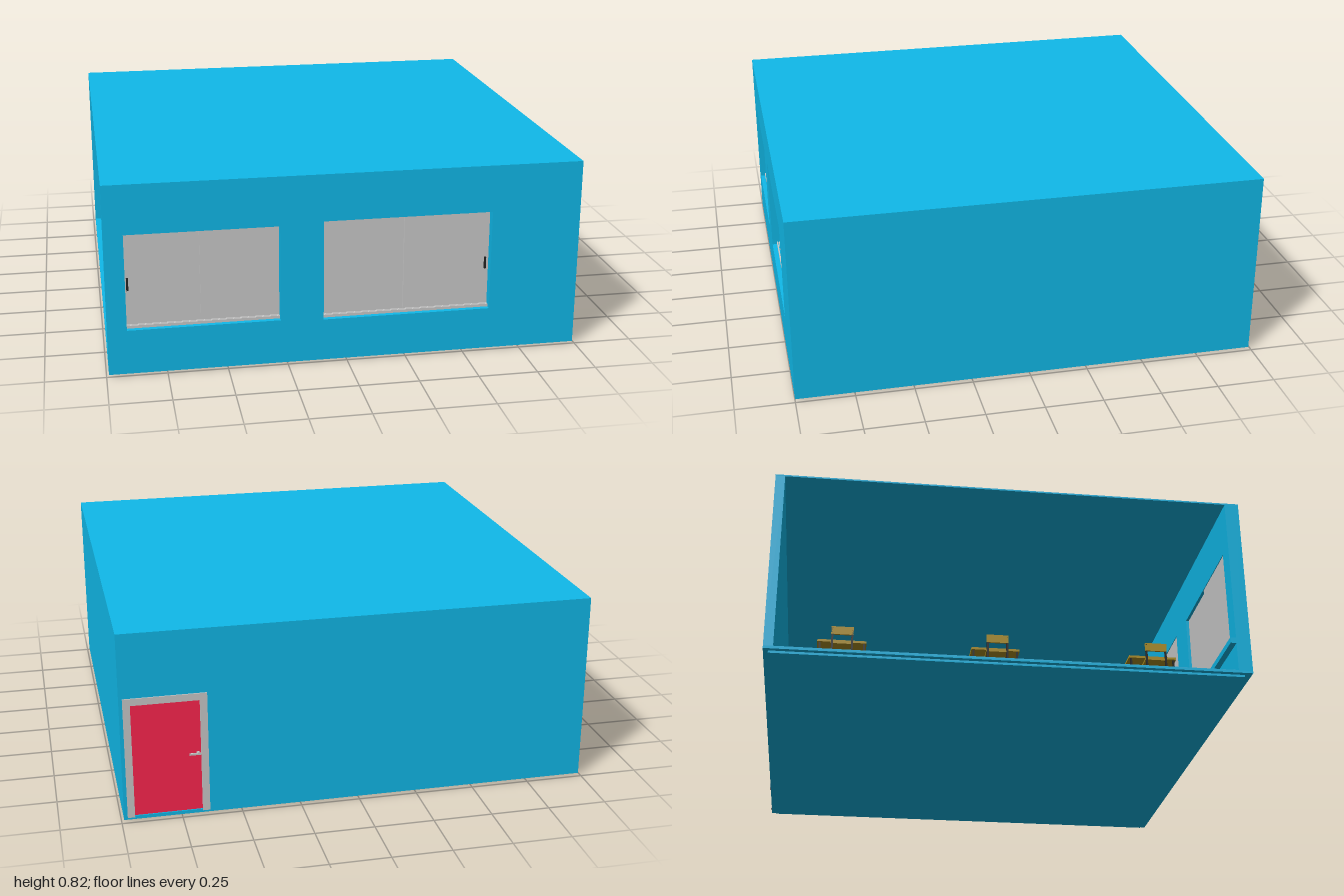
import * as THREE from 'three';

const mat = (color) => new THREE.MeshStandardMaterial({ color });
const BLUE = mat(0x10baea), GREY = mat(0xcccccc), RED = mat(0xff2650), WOOD = mat(0xb09224), DARK = mat(0x222222);

// Box given by its two opposite corners
function box(parent, name, material, [x0, y0, z0], [x1, y1, z1]) {
  const mesh = new THREE.Mesh(new THREE.BoxGeometry(x1 - x0, y1 - y0, z1 - z0), material);
  mesh.position.set((x0 + x1) / 2, (y0 + y1) / 2, (z0 + z1) / 2);
  mesh.name = name;
  parent.add(mesh);
  return mesh;
}

function group(parent, name) {
  const g = new THREE.Group();
  g.name = name;
  parent.add(g);
  return g;
}

// Closed rectangle as a list of points
const rect = (x0, y0, x1, y1) => [[x0, y0], [x1, y0], [x1, y1], [x0, y1]].map(([x, y]) => new THREE.Vector2(x, y));

// Wall across x with rectangular openings, from z to z + depth
function wall(parent, name, z, depth, openings) {
  const shape = new THREE.Shape(rect(-0.99, 0.02, 0.99, 0.82));
  for (const o of openings) shape.holes.push(new THREE.Path(rect(...o)));
  const mesh = new THREE.Mesh(new THREE.ExtrudeGeometry(shape, { depth, bevelEnabled: false }), BLUE);
  mesh.position.z = z;
  mesh.name = name;
  parent.add(mesh);
}

// Sliding window: two overlapping sashes on a grooved bottom rail, with a pull
function slidingWindow(parent, [x0, y0, x1, y1], pullX) {
  const g = group(parent, 'slidingWindow');
  const mid = (x0 + x1) / 2;
  box(g, 'leftSash', GREY, [x0, y0, 0.943], [mid + 0.01, y1, 0.953]);
  box(g, 'rightSash', GREY, [mid - 0.01, y0, 0.953], [x1, y1, 0.963]);
  for (const z of [0.966, 0.976]) box(g, 'bottomRail', GREY, [x0, y0, z - 0.003], [x1, y0 + 0.012, z + 0.003]);
  box(g, 'pull', DARK, [pullX - 0.004, 0.36, 0.953], [pullX + 0.004, 0.41, 0.97]);
}

// Desk facing +x, standing on its own y = 0
function desk(parent) {
  const g = group(parent, 'desk');
  box(g, 'deskTop', WOOD, [-0.08, 0.085, -0.1], [0.08, 0.095, 0.1]);
  for (const x of [-0.07, 0.07]) for (const z of [-0.09, 0.09])
    box(g, 'deskLeg', DARK, [x - 0.004, 0, z - 0.004], [x + 0.004, 0.085, z + 0.004]);
}

// Chair tucked behind the desk, facing +x
function chair(parent) {
  const g = group(parent, 'chair');
  box(g, 'seat', WOOD, [-0.14, 0.05, -0.045], [-0.06, 0.058, 0.045]);
  box(g, 'backrest', WOOD, [-0.142, 0.09, -0.045], [-0.135, 0.125, 0.045]);
  for (const z of [-0.04, 0.04]) {
    box(g, 'rearLeg', DARK, [-0.142, 0, z - 0.004], [-0.134, 0.12, z + 0.004]);
    box(g, 'frontLeg', DARK, [-0.07, 0, z - 0.004], [-0.062, 0.05, z + 0.004]);
  }
}

export function createModel() {
  const root = new THREE.Group();
  root.name = 'classroom';

  // Room shell, open on the -x side
  const windows = [[-0.91, 0.2, -0.28, 0.61], [-0.1, 0.19, 0.61, 0.62]];
  box(root, 'floorBase', BLUE, [-0.97, 0, -0.97], [0.97, 0.012, 0.97]);
  box(root, 'floor', BLUE, [-0.99, 0.01, -0.99], [0.99, 0.022, 1]);
  box(root, 'roof', BLUE, [-0.99, 0.813, -0.99], [0.99, 0.82, 1]);
  box(root, 'sideWall', BLUE, [0.95, 0.02, -0.99], [0.99, 0.819, 0.999]);
  wall(root, 'windowWall', 0.94, 0.06, windows);
  wall(root, 'doorWall', -0.99, 0.04, [[0.64, 0.025, 0.97, 0.54]]);
  box(root, 'insideLedge', BLUE, [-0.99, 0.145, 0.915], [0.95, 0.17, 0.94]);

  // Windows
  slidingWindow(root, windows[0], -0.9);
  slidingWindow(root, windows[1], 0.595);

  // Door with frame and lever handles on both faces
  const door = group(root, 'door');
  for (const x of [0.635, 0.945]) box(door, 'jamb', GREY, [x, 0.02, -0.995], [x + 0.03, 0.545, -0.945]);
  box(door, 'lintel', GREY, [0.635, 0.515, -0.995], [0.975, 0.545, -0.945]);
  box(door, 'doorLeaf', RED, [0.665, 0.02, -0.985], [0.945, 0.515, -0.955]);
  for (const [a, b, c] of [[-0.995, -0.985, -1], [-0.955, -0.945, -0.94]]) {
    box(door, 'handleStem', GREY, [0.673, 0.274, a], [0.685, 0.286, b]);
    box(door, 'handleLever', GREY, [0.668, 0.276, Math.min(c, a, b)], [0.715, 0.284, Math.min(c, a, b) + 0.006]);
  }

  // Rows of desks with chairs
  for (const x of [-0.8, -0.11]) for (const z of [-0.68, -0.05, 0.61]) {
    const seat = group(root, 'workplace');
    seat.position.set(x, 0.022, z);
    desk(seat);
    chair(seat);
  }
  return root;
}
